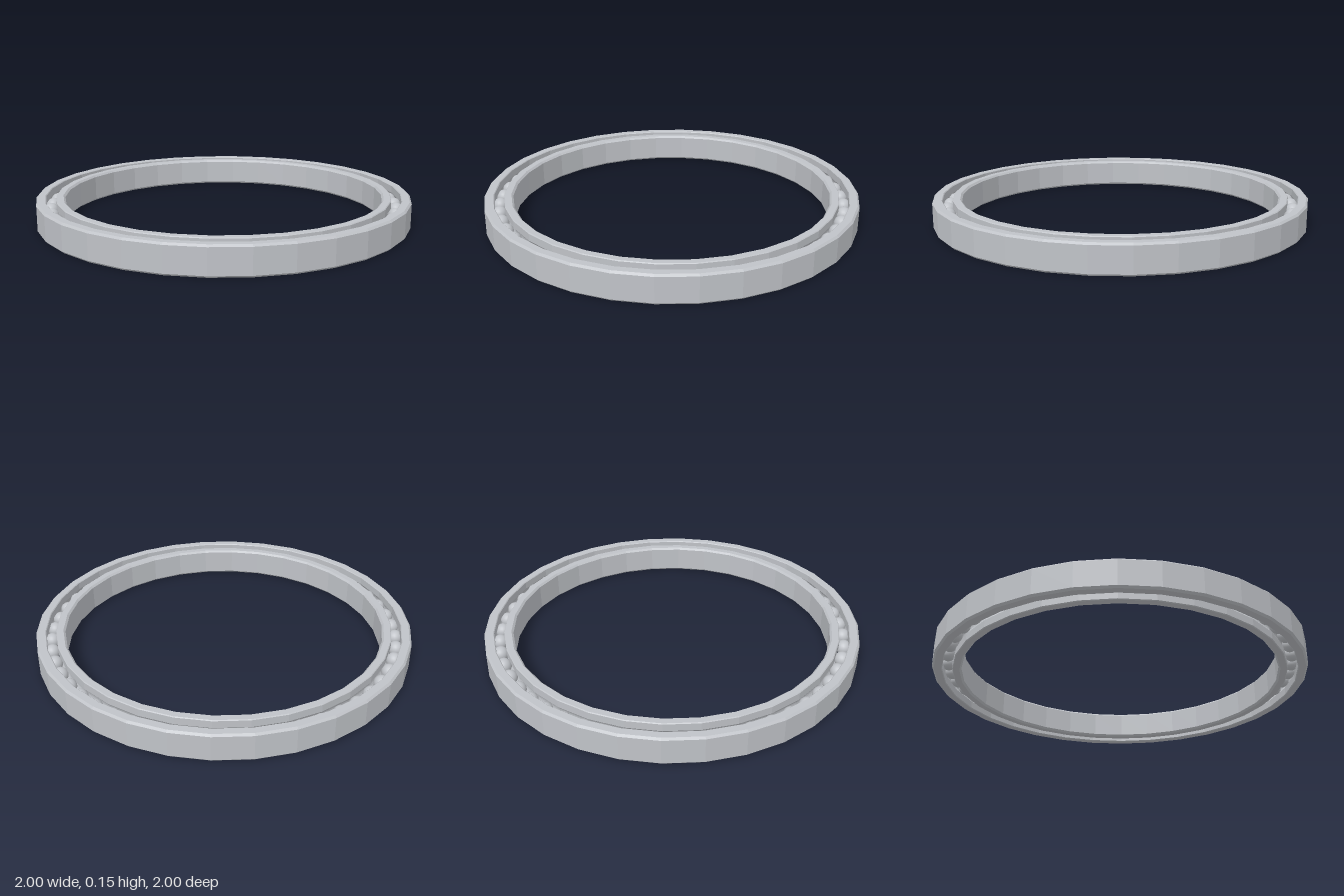
import * as THREE from 'three';

const HEIGHT = 0.15, MID = HEIGHT / 2;
const PITCH = 0.922;      // radius of the ball circle
const GROOVE = 0.042;     // raceway radius
const BALL = 0.04;
const BALLS = 51;
const SIDES = 32;
const CHAMFER = 0.01;

// Ring profile, counterclockwise; `side` is +1 for a groove facing outward, -1 for inward
function ringGeometry(inner, outer, side) {
  const c = CHAMFER, s = 0.004;
  const ci = side > 0 ? c : s, co = side > 0 ? s : c; // larger chamfer away from the balls
  const wall = side > 0 ? outer : inner;
  const half = Math.acos(Math.abs(PITCH - wall) / GROOVE);
  const groove = [];
  for (let i = 0; i <= 8; i++) {
    const a = half * (i / 4 - 1);
    groove.push([PITCH - side * GROOVE * Math.cos(a), MID + side * GROOVE * Math.sin(a)]);
  }
  const profile = [
    [inner, ci], [inner + ci, 0], [outer - co, 0], [outer, co],
    ...(side > 0 ? groove : []),
    [outer, HEIGHT - co], [outer - co, HEIGHT], [inner + ci, HEIGHT], [inner, HEIGHT - ci],
    ...(side < 0 ? groove : []),
    [inner, ci],
  ].map(([x, y]) => new THREE.Vector2(x, y));
  // Faceted normals
  const geometry = new THREE.LatheGeometry(profile, SIDES).toNonIndexed();
  geometry.computeVertexNormals();
  return geometry;
}

export function createModel() {
  const steel = new THREE.MeshStandardMaterial({ color: 0xc0c3c8 });
  steel.name = 'steel';

  const model = new THREE.Group();
  model.name = 'ballBearing';

  // Outer and inner races
  const outerRing = new THREE.Mesh(ringGeometry(0.948, 1, -1), steel);
  outerRing.name = 'outerRing';
  const innerRing = new THREE.Mesh(ringGeometry(0.848, 0.896, 1), steel);
  innerRing.name = 'innerRing';
  model.add(outerRing, innerRing);

  // Balls running between the races
  const balls = new THREE.Group();
  balls.name = 'balls';
  const ballGeometry = new THREE.SphereGeometry(BALL, 20, 14);
  for (let i = 0; i < BALLS; i++) {
    const a = (i / BALLS) * Math.PI * 2;
    const ball = new THREE.Mesh(ballGeometry, steel);
    ball.name = 'ball';
    ball.position.set(PITCH * Math.cos(a), MID, PITCH * Math.sin(a));
    balls.add(ball);
  }
  model.add(balls);
  return model;
}
